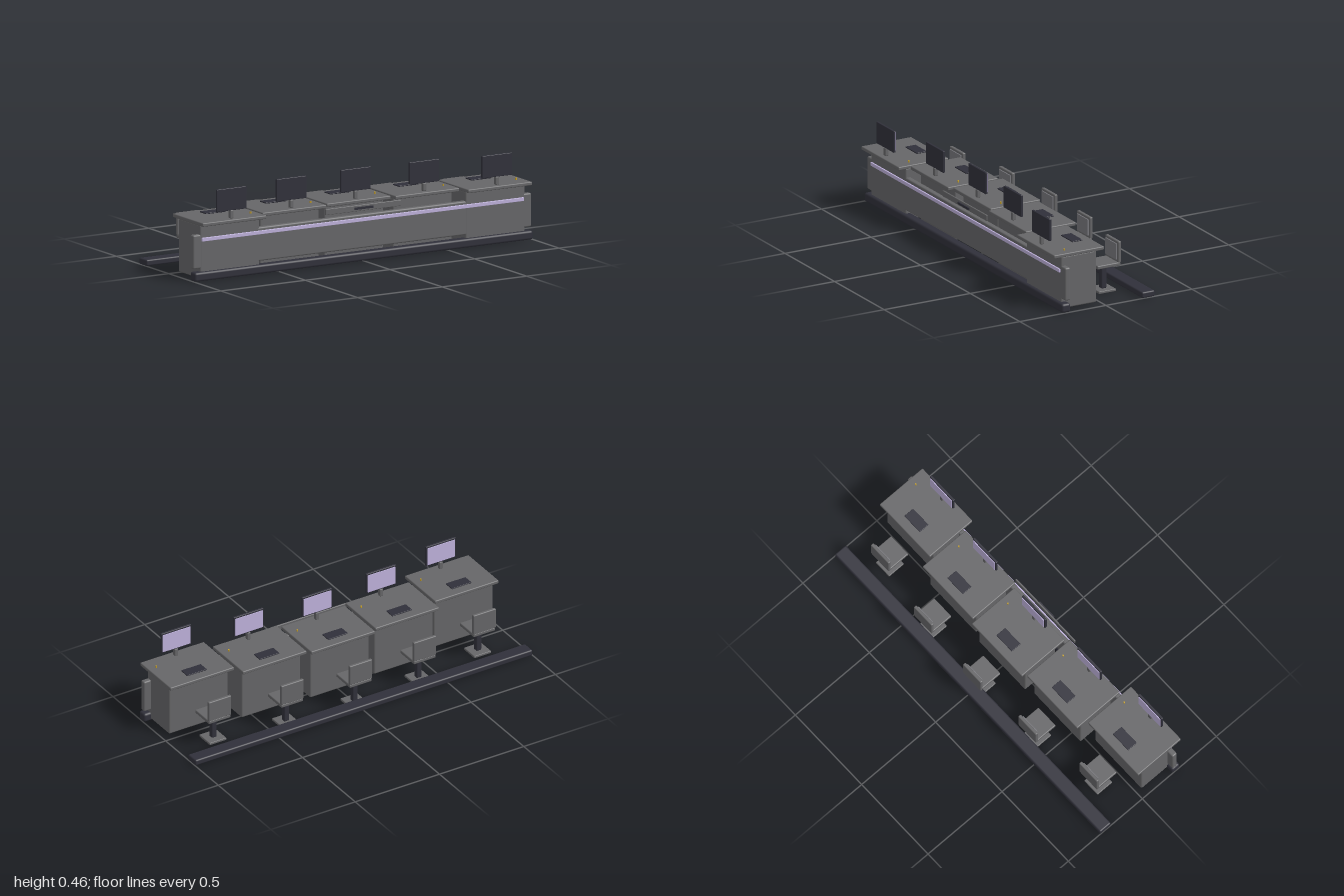
import * as THREE from 'three';
import { RoundedBoxGeometry } from 'three/addons/geometries/RoundedBoxGeometry.js';

const mat = (name, color) => new THREE.MeshStandardMaterial({ name, color });

export function createModel() {
  const grey = mat('grey panel', 0x666668);
  const dark = mat('dark metal', 0x30303a);
  const lavender = mat('lavender glow', 0xbfb2dc);
  const pale = mat('pale grey pad', 0x77777c);
  const gold = mat('gold', 0xc9a227);

  const model = new THREE.Group();
  model.name = 'controlDeskRow';

  // Rounded box given by its extents on each axis
  const box = (parent, name, material, [x0, x1], [y0, y1], [z0, z1], r = 0.004) => {
    const w = x1 - x0, h = y1 - y0, d = z1 - z0;
    const geo = r > 0 ? new RoundedBoxGeometry(w, h, d, 2, r) : new THREE.BoxGeometry(w, h, d);
    const mesh = new THREE.Mesh(geo, material);
    mesh.name = name;
    mesh.position.set((x0 + x1) / 2, (y0 + y1) / 2, (z0 + z1) / 2);
    parent.add(mesh);
    return mesh;
  };
  const wide = (w) => [-w / 2, w / 2];

  // Long shared parts
  box(model, 'frontRail', dark, [-1, 1], [0, 0.047], [0.203, 0.254], 0.012);
  box(model, 'backRail', dark, [-1, 1], [0, 0.032], [-0.285, -0.211], 0.008);
  box(model, 'frontPanel', grey, [-1, 1], [0.063, 0.237], [0.205, 0.236], 0.008);
  box(model, 'lightStrip', lavender, [-0.952, 0.952], [0.202, 0.221], [0.236, 0.245], 0.002);

  // Name board hanging under the middle worktop, with a blank plate
  box(model, 'nameBoard', grey, [-0.223, 0.223], [0.258, 0.289], [0.238, 0.247], 0.003);
  box(model, 'namePlate', dark, [-0.055, 0.055], [0.268, 0.279], [0.247, 0.255], 0);

  // Workstation: desk, screen, keyboard and chair; depths are for the outer pair
  const station = (x, dz) => {
    const desk = new THREE.Group();
    desk.name = 'workstation';
    desk.position.set(x, 0, dz);
    model.add(desk);

    box(desk, 'deskBody', grey, wide(0.35), [0.01, 0.287], [0.03, 0.237], 0.008);
    box(desk, 'worktop', grey, wide(0.378), [0.287, 0.306], [-0.005, 0.285], 0.005);

    box(desk, 'monitorStand', grey, wide(0.02), [0.306, 0.348], [0.239, 0.259], 0.004);
    box(desk, 'monitor', dark, wide(0.176), [0.347, 0.462], [0.243, 0.256], 0.003);
    box(desk, 'screen', lavender, wide(0.162), [0.355, 0.453], [0.239, 0.243], 0);
    box(desk, 'keyboard', dark, wide(0.116), [0.306, 0.312], [0.045, 0.104], 0.002);

    const knob = new THREE.Mesh(new THREE.CylinderGeometry(0.004, 0.004, 0.01, 12), gold);
    knob.name = 'knob';
    knob.position.set(0.145, 0.311, 0.201);
    desk.add(knob);

    const chair = new THREE.Group();
    chair.name = 'chair';
    desk.add(chair);
    box(chair, 'chairFoot', grey, wide(0.1), [0, 0.013], [-0.155, -0.055], 0.003);
    box(chair, 'chairPost', dark, wide(0.03), [0.012, 0.137], [-0.12, -0.09], 0.006);
    box(chair, 'chairSeat', grey, wide(0.13), [0.137, 0.156], [-0.172, -0.038], 0.005);
    box(chair, 'chairBack', grey, wide(0.134), [0.155, 0.267], [-0.175, -0.157], 0.005);
    box(chair, 'chairPad', pale, wide(0.11), [0.169, 0.254], [-0.157, -0.151], 0);
  };

  // Shallow arc of five stations, mirrored about the middle
  station(0, -0.082);
  for (const side of [-1, 1]) {
    station(side * 0.393, -0.061);
    station(side * 0.785, 0);
  }
  return model;
}
